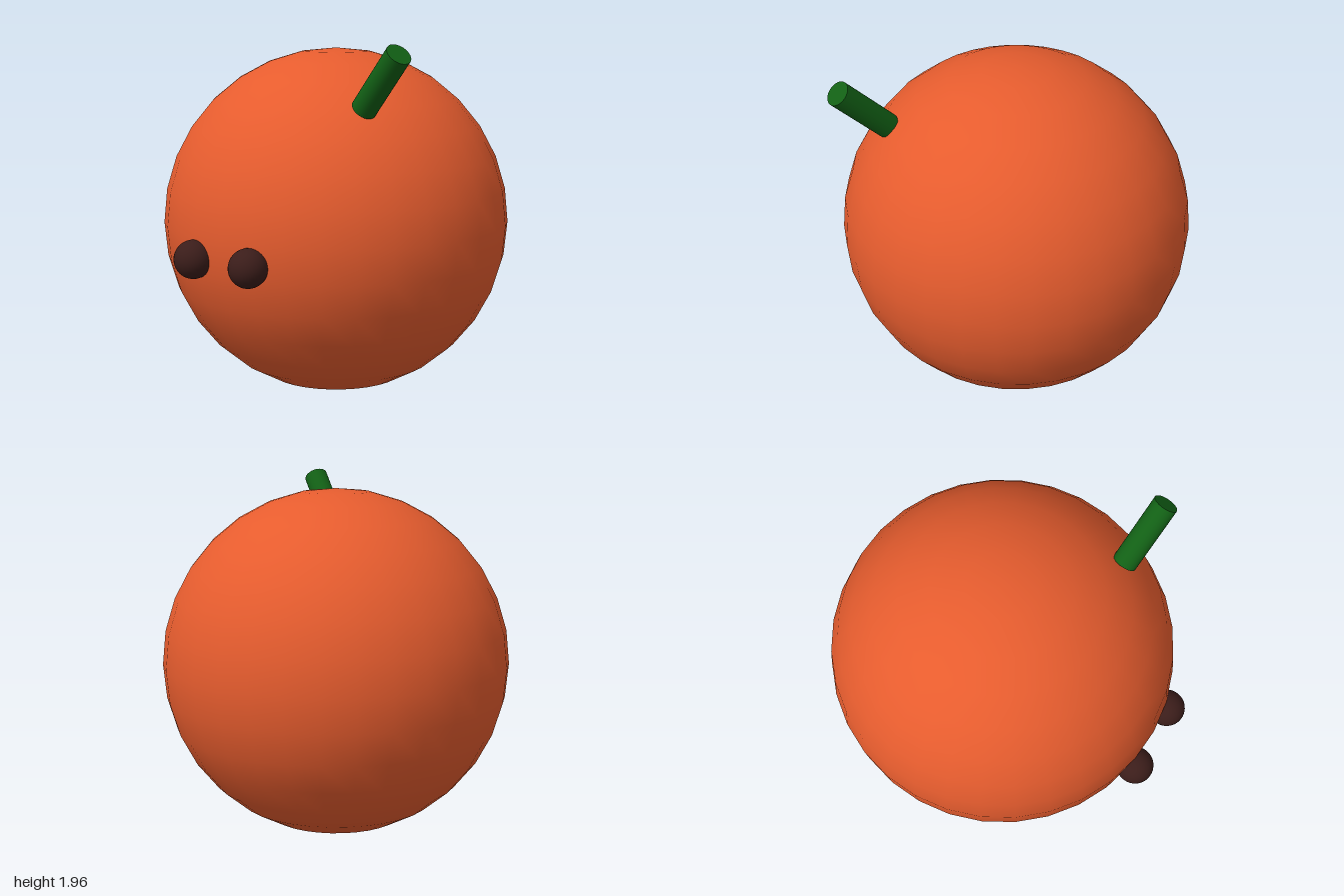
import * as THREE from 'three';

function addPart(group, name, geometry, color) {
  const mesh = new THREE.Mesh(geometry, new THREE.MeshStandardMaterial({ color }));
  mesh.name = name;
  group.add(mesh);
  return mesh;
}

export function createModel() {
  const model = new THREE.Group();
  model.name = 'roundFruit';

  // Round body
  addPart(model, 'body', new THREE.SphereGeometry(0.953, 32, 16), 0xe65c2e)
    .position.set(0, 0.953, -0.047);

  // Eyes, half sunk into the front
  for (const [name, side] of [['leftEye', 1], ['rightEye', -1]]) {
    addPart(model, name, new THREE.SphereGeometry(0.102, 32, 16), 0x3b1d1a)
      .position.set(side * 0.19, 0.845, 0.898);
  }

  // Stem, leaning out of the upper left side
  const base = new THREE.Vector3(0.525, 1.625, 0.388);
  const tip = new THREE.Vector3(0.79, 1.91, 0.458);
  const axis = tip.clone().sub(base);
  const stem = addPart(model, 'stem',
    new THREE.CylinderGeometry(0.067, 0.067, axis.length(), 32), 0x126015);
  stem.position.copy(base).add(tip).multiplyScalar(0.5);
  stem.quaternion.setFromUnitVectors(new THREE.Vector3(0, 1, 0), axis.normalize());

  return model;
}
